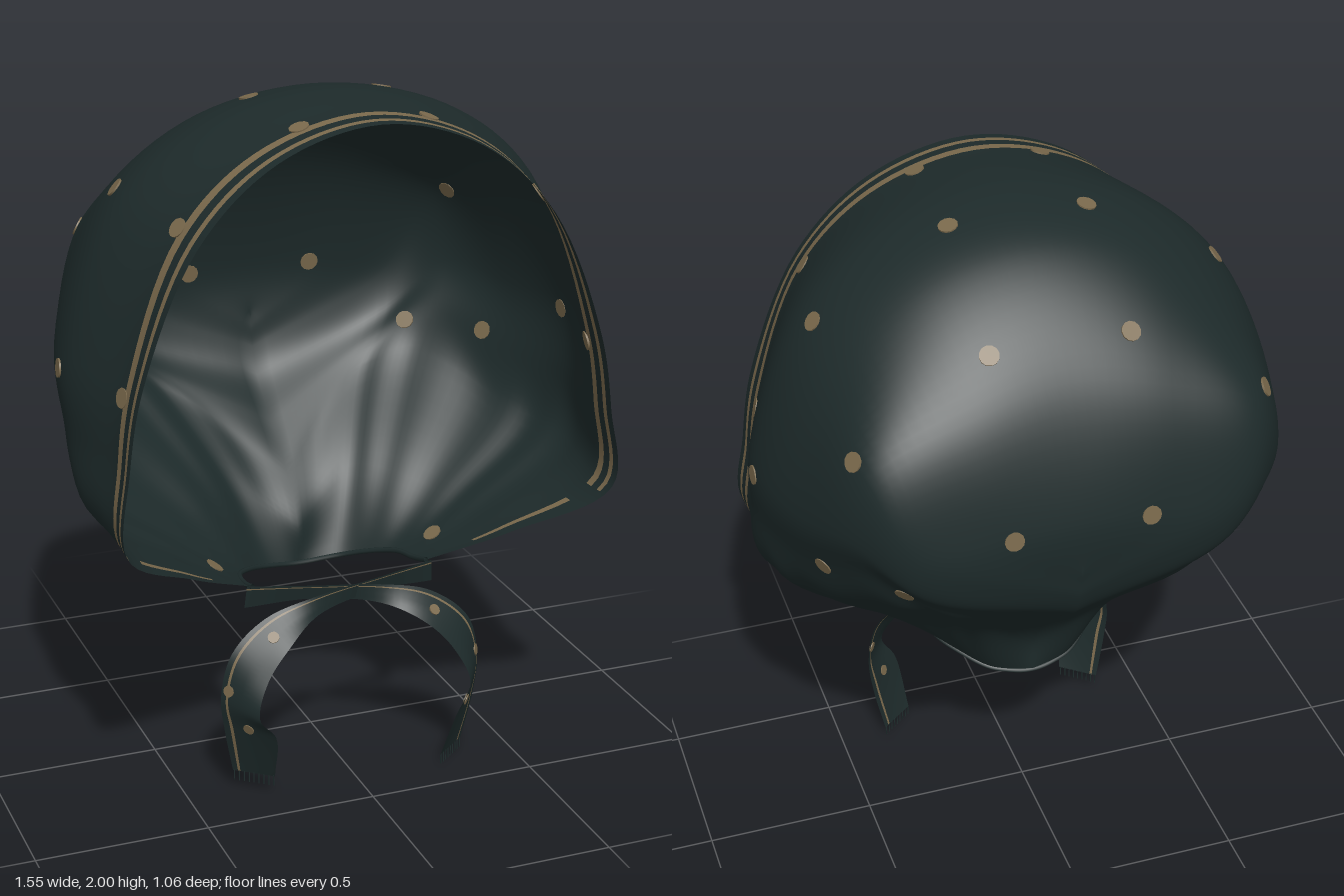
import * as THREE from 'three';

const V = (x, y, z) => new THREE.Vector3(x, y, z);

// Half arches of the hood, from the face rim to the back.
// Each runs from the crown over the side and the cheek corner to the neck edge.
const ARCHES = [
  [V(0, 1.975, .52), V(.29, 1.895, .52), V(.51, 1.69, .52), V(.665, 1.33, .52), V(.722, .865, .52), V(.49, .705, .37), V(.27, .595, .24)],
  [V(0, 1.985, .40), V(.315, 1.90, .40), V(.53, 1.70, .40), V(.675, 1.31, .40), V(.715, .865, .41), V(.48, .695, .30), V(.27, .585, .21)],
  [V(0, 2.00, .12), V(.36, 1.92, .11), V(.61, 1.72, .10), V(.765, 1.3, .10), V(.735, .90, .14), V(.47, .70, .14), V(.265, .57, .15)],
  [V(0, 1.93, -.14), V(.34, 1.85, -.16), V(.60, 1.62, -.19), V(.71, 1.28, -.18), V(.66, .93, -.06), V(.41, .71, .02), V(.25, .56, .07)],
  [V(0, 1.68, -.40), V(.28, 1.63, -.42), V(.545, 1.52, -.42), V(.60, 1.30, -.40), V(.49, 1.03, -.34), V(.30, .75, -.10), V(.20, .54, 0)],
  [V(0, 1.32, -.525), V(.23, 1.31, -.522), V(.43, 1.26, -.512), V(.44, 1.15, -.485), V(.31, .98, -.39), V(.19, .75, -.18), V(.12, .51, -.07)],
];
// Between side and cheek corner each arch bows out a little
for (const a of ARCHES) a.splice(4, 0, a[3].clone().lerp(a[4], .5).multiply(V(1.02, 1, 1)));
// The arches close on a seam down the middle of the back
const seam = new THREE.CatmullRomCurve3([V(0, 1.15, -.523), V(0, 1, -.48), V(0, .82, -.28), V(0, .64, -.12), V(0, .49, -.10)]);
ARCHES.push(ARCHES[0].map((_, k) => seam.getPoint((k / 7) ** 1.5)));

const COLUMNS = ARCHES[0].map((_, k) => new THREE.CatmullRomCurve3(ARCHES.map(a => a[k])));
const HALF = 56; // grid cells from the crown to the neck edge, 8 per control point

// Full arch at u (0 = rim, 6 = back seam), from the right neck edge to the left one
function archAt(u) {
  const half = COLUMNS.map(c => c.getPoint(u / 6));
  const right = half.slice(1).reverse().map(p => V(-p.x, p.y, p.z));
  return new THREE.CatmullRomCurve3([...right, ...half]);
}

// Grid of rows of points; materialAt(i, j) gives 0 or 1 for each cell
function gridGeometry(rows, materialAt, closeLast) {
  const n = rows[0].length, last = rows.length - 1, cells = [[], []];
  const id = (i, j) => i * n + (closeLast && i === last ? Math.min(j, n - 1 - j) : j);
  for (let i = 0; i < last; i++) for (let j = 0; j < n - 1; j++) {
    cells[materialAt(i, j)].push(
      id(i, j), id(i, j + 1), id(i + 1, j),
      id(i, j + 1), id(i + 1, j + 1), id(i + 1, j));
  }
  const geo = new THREE.BufferGeometry();
  geo.setAttribute('position', new THREE.Float32BufferAttribute(rows.flat().flatMap(p => [p.x, p.y, p.z]), 3));
  geo.setIndex(cells.flat());
  geo.addGroup(0, cells[0].length, 0);
  geo.addGroup(cells[0].length, cells[1].length, 1);
  geo.computeVertexNormals();
  return geo;
}

export function createModel() {
  const model = new THREE.Group();
  const cloth = new THREE.MeshStandardMaterial({ color: 0x1d2a2a, side: THREE.DoubleSide });
  cloth.name = 'dark green cloth';
  const gold = new THREE.MeshStandardMaterial({ color: 0x7a694c, side: THREE.DoubleSide });
  gold.name = 'dull gold print';
  const add = (name, geo, mat, parent = model) => {
    const mesh = new THREE.Mesh(geo, mat);
    mesh.name = name;
    parent.add(mesh);
    return mesh;
  };

  // Rows of the hood: two per band at the rim, then evenly to the back
  const edges = [0, .26, .44, .72, .95], us = [];
  for (let b = 0; b < 4; b++) us.push(edges[b], (edges[b] + edges[b + 1]) / 2);
  for (let i = 0; i <= 50; i++) us.push(.95 + 5.05 * i / 50);
  const rows = us.map(u => {
    const points = archAt(u).getPoints(2 * HALF);
    // Gathers towards the neck
    points.forEach((p, j) => {
      const v = Math.abs(j / HALF - 1);
      const gather = THREE.MathUtils.smoothstep(v, .6, .85) * THREE.MathUtils.smoothstep(u, 1, 2) * (1 - v) * 4;
      const ripple = 1 + .014 * gather * Math.sin(u * 8);
      p.x *= ripple;
      p.z = .1 + (p.z - .1) * ripple;
    });
    return points;
  });

  // Two printed stripes down to the cheek corners, and a short dash below them
  const hoodGeo = gridGeometry(rows, (i, j) => {
    const down = Math.abs(j + .5 - HALF);
    const front = (i === 2 || i === 3) && down < 41;
    const rear = (i === 6 || i === 7) && (down < 41 || (down > 43 && down < 51));
    return front || rear ? 1 : 0;
  }, true);
  add('hood', hoodGeo, [cloth, gold]);

  // Rolled hem around the neck opening
  const neck = [...rows.map(r => r[0]), ...rows.slice(0, -1).reverse().map(r => r[2 * HALF])];
  add('neckHem', new THREE.TubeGeometry(new THREE.CatmullRomCurve3(neck.filter((_, i) => i % 4 === 0)), 80, .008, 6), cloth);

  // Round spots, each a thin plate lying on the nearest bit of a surface
  const spotGeo = new THREE.CylinderGeometry(.028, .028, .007, 12);
  function addSpot(target, geo, scale, parent) {
    const pos = geo.attributes.position, p = V(0, 0, 0), best = V(0, 0, 0), normal = V(0, 0, 0);
    let nearest = Infinity;
    for (let i = 0; i < pos.count; i++) {
      const d = p.fromBufferAttribute(pos, i).distanceToSquared(target);
      if (d < nearest) {
        nearest = d;
        best.copy(p);
        normal.fromBufferAttribute(geo.attributes.normal, i);
      }
    }
    const spot = add('spot', spotGeo, gold, parent);
    spot.position.copy(target).addScaledVector(normal, best.sub(target).dot(normal));
    spot.quaternion.setFromUnitVectors(V(0, 1, 0), normal.normalize());
    spot.scale.set(scale, 1, scale);
  }
  const spots = new THREE.Group();
  spots.name = 'hoodSpots';
  model.add(spots);
  const spotPoints = [
    [.2, 1.98, .035], [.59, 1.75, .03], [.76, 1.26, .07], [.2, 1.78, -.335], [.59, 1.54, -.36],
    [.195, 1.305, -.52], [.47, 1.12, -.41], [.65, 1.12, -.22], [.19, 1.97, .397], [.54, 1.73, .397],
    [.69, 1.27, .397], [.33, .64, .12],
  ];
  for (const [x, y, z] of spotPoints) for (const s of [1, -1]) addSpot(V(s * x, y, z), hoodGeo, 1, spots);

  // Ties: two ribbons crossing under the chin, each with a printed line and a fringe
  const outer = [[.285, .595, .24], [.1, .585, .28], [-.1, .57, .31], [-.26, .525, .31], [-.365, .44, .33], [-.40, .31, .33], [-.39, .18, .325], [-.36, .03, .31]];
  const inner = [[.29, .525, .23], [.1, .54, .27], [-.1, .515, .32], [-.215, .46, .39], [-.29, .375, .42], [-.325, .28, .45], [-.28, .19, .455], [-.26, .03, .39]];
  for (const side of [1, -1]) {
    const tie = new THREE.Group();
    tie.name = side > 0 ? 'rightTie' : 'leftTie';
    model.add(tie);
    const lift = side > 0 ? .03 : 0;
    const edge = list => new THREE.CatmullRomCurve3(list.map(([x, y, z], i) =>
      V(side * x, y + (i > 5 ? lift : 0), z + (i < 4 ? side * .006 : 0)))).getPoints(56);
    const a = edge(outer), b = edge(inner);
    const strips = [0, .12, .18, .5, .75, 1].map(t => a.map((p, i) => p.clone().lerp(b[i], t)));
    const geo = gridGeometry(strips, i => (i === 1 ? 1 : 0), false);
    add('ribbon', geo, [cloth, gold], tie);
    for (const [i, t] of [[25, 3], [38, 2], [47, 3]]) addSpot(strips[t][i], geo, .6, tie);

    // Fringe threads along the cut end
    const end = a.length - 1;
    for (let k = 0; k < 9; k++) {
      const thread = add('fringeThread', new THREE.BoxGeometry(.003, .032, .003), cloth, tie);
      thread.position.copy(a[end]).lerp(b[end], (k + .3) / 8.6);
      thread.position.y -= .014;
    }
  }
  return model;
}
